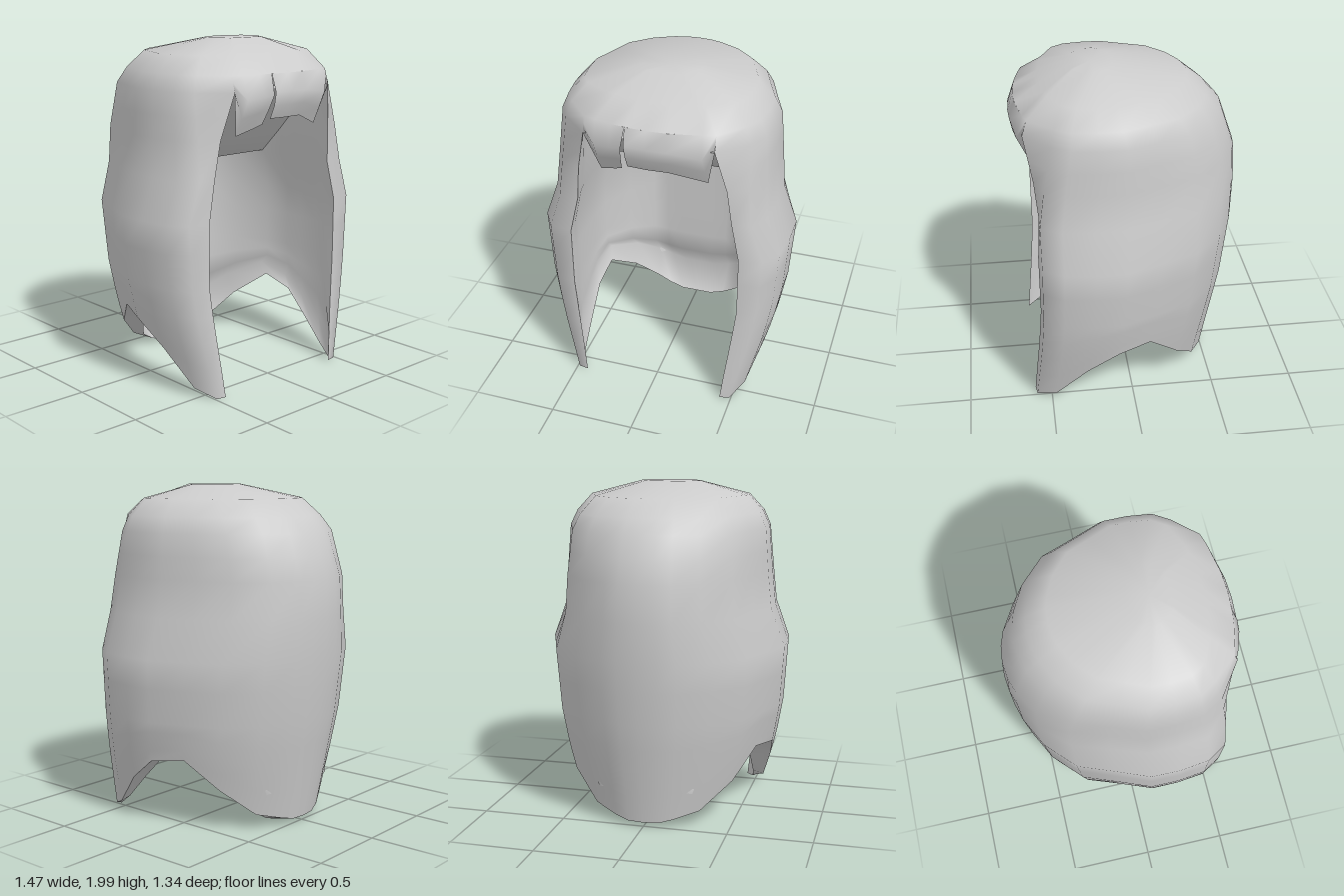
import * as THREE from 'three';
import { mergeGeometries, mergeVertices } from 'three/addons/utils/BufferGeometryUtils.js';

const lerp = THREE.MathUtils.lerp;

// Half cross-sections from back centre to the front corner: [share of width, share of depth]
const OUTER_HALF = [[0, 0], [0.16, 0.01], [0.3, 0.035], [0.54, 0.11], [0.78, 0.25], [0.89, 0.43],
  [1, 0.6], [1, 0.75], [0.97, 0.9], [0.87, 1]];
const INNER_HALF = [[0, 0], [0.2, 0], [0.38, 0], [0.55, 0.01], [0.78, 0.17], [0.97, 0.4],
  [1, 0.6], [1, 0.75], [1, 0.9], [0.97, 1]];
const EDGE = OUTER_HALF.length; // last column: rim of the face opening

// Levels: [y, half width, back z, front z, rim x, rim z]
const OUTER = [
  [2, 0.18, 0.06, 0.22, 0.12, 0.29], [1.92, 0.48, -0.37, 0.38, 0.28, 0.45],
  [1.82, 0.57, -0.49, 0.43, 0.37, 0.57], [1.73, 0.61, -0.57, 0.45, 0.37, 0.598],
  [1.47, 0.63, -0.66, 0.5, 0.43, 0.55], [1.25, 0.65, -0.67, 0.53, 0.455, 0.53],
  [1.02, 0.735, -0.66, 0.53, 0.505, 0.545], [0.65, 0.71, -0.62, 0.535, 0.505, 0.545],
  [0.42, 0.67, -0.58, 0.55, 0.48, 0.56], [0.27, 0.63, -0.555, 0.565, 0.46, 0.575],
  [0, 0.56, -0.51, 0.59, 0.43, 0.6]];
const INNER = [
  [1.73, 0.42, -0.36, 0.45], [1.25, 0.48, -0.36, 0.45], [1.02, 0.53, -0.36, 0.46],
  [0.65, 0.53, -0.36, 0.46], [0.35, 0.52, -0.36, 0.5], [0.18, 0.52, -0.48, 0.53], [0, 0.49, -0.37, 0.56]];

// Lower hem height of each column
const OUTER_HEM = [0.04, 0.04, 0.06, 0.1, 0.26, 0.43, 0.41, 0.27, 0.06, 0.01, 0.01];
const INNER_HEM = [0.01, 0.01, 0.04, 0.09, 0.27, 0.43, 0.37, 0.23, 0.08, 0.01, 0.01];

// Fringe locks, hem points [x at root, x at tip, tip height]
const FRINGE = [
  [[-0.37, -0.37, 1.73], [-0.3, -0.3, 1.48], [-0.2, -0.2, 1.52], [-0.12, -0.155, 1.54]],
  [[-0.12, -0.115, 1.57], [0, 0, 1.57], [0.12, 0.12, 1.57], [0.3, 0.32, 1.5], [0.37, 0.37, 1.73]]];
const FRINGE_Z = [[1.82, 0.632], [1.73, 0.66], [1.7, 0.675], [1.57, 0.615], [1.48, 0.57]];
const FRINGE_CURVE = 0.45;

// Interpolate a table ordered by falling first value
function sample(table, y) {
  let i = 0;
  while (i < table.length - 2 && y < table[i + 1][0]) i++;
  const a = table[i], b = table[i + 1];
  const t = THREE.MathUtils.clamp((a[0] - y) / (a[0] - b[0]), 0, 1);
  return a.map((v, k) => lerp(v, b[k], t));
}

// Point of a column at height y, shaped by the cross-section of the given level
function point(table, half, col, y, level = y) {
  if (col === EDGE) {
    const l = sample(OUTER, y);
    return [l[4], y, l[5]];
  }
  const l = sample(table, level), [w, d] = half[col];
  return [l[1] * w, y, lerp(l[2], l[3], d)];
}
const outerPoint = (c, y) => point(OUTER, OUTER_HALF, c, y);
const innerPoint = (c, y, level) => point(INNER, INNER_HALF, c, y, level);

// Row of points from the left rim, round the back, to the right rim
function row(f) {
  const half = [];
  for (let c = 0; c <= EDGE; c++) half.push(f(c));
  return [...half.slice(1).reverse(), ...half.map(([x, y, z]) => [-x, y, z])];
}

// Surface through rows of points
function sheet(rows, flip = false) {
  const n = rows[0].length, index = [];
  for (let r = 0; r < rows.length - 1; r++) {
    for (let c = 0; c < n - 1; c++) {
      const a = r * n + c, b = a + n;
      if (flip) index.push(a, a + 1, b, b, a + 1, b + 1);
      else index.push(a, b, a + 1, b, b + 1, a + 1);
    }
  }
  const g = new THREE.BufferGeometry();
  g.setAttribute('position', new THREE.Float32BufferAttribute(rows.flat(2), 3));
  g.setIndex(index);
  return g;
}

function smooth(parts) {
  const g = mergeVertices(mergeGeometries(parts), 1e-3);
  g.computeVertexNormals();
  return g;
}

const DROP = [0.25, 0.47, 0.73, 1]; // steps from the last full level to the hem

export function createModel() {
  const group = new THREE.Group();
  const material = new THREE.MeshStandardMaterial({ color: 0xcccccc, side: THREE.DoubleSide });
  const add = (name, geometry) => {
    const mesh = new THREE.Mesh(geometry, material);
    mesh.name = name;
    group.add(mesh);
  };

  // Sides and back, from the crown levels down to the cut hem
  const outer = [
    ...[1.82, 1.73, 1.6, 1.47, 1.25, 1.02, 0.85, 0.65].map((y) => row((c) => outerPoint(c, y))),
    ...DROP.map((s) => row((c) => outerPoint(c, lerp(0.65, OUTER_HEM[c], s))))];

  // Closed crown
  const roots = [-0.37, -0.3, -0.2, -0.12, 0, 0.12, 0.3, 0.37];
  const crown = [2, 1.92, 1.82].map((y) => {
    const [, , , , ex, ez] = sample(OUTER, y);
    const front = roots.slice(1).map((r) => {
      const x = r * ex / 0.37;
      return [x, y, ez + FRINGE_CURVE * (ex * ex - x * x)];
    });
    return [...row((c) => outerPoint(c, y)), ...front];
  });
  crown.unshift(crown[0].map(() => [0, 2, 0.18]));

  // Fringe locks with notches between them
  const fringe = FRINGE.map((lock) => sheet([0, 0.4, 0.7, 1].map((s) => lock.map(([x0, x1, tip]) => {
    const x = lerp(x0, x1, s), y = lerp(1.82, tip, s);
    return [x, y, sample(FRINGE_Z, y)[1] - FRINGE_CURVE * x * x];
  }))));
  add('hairShell', smooth([sheet(crown), sheet(outer), ...fringe]));

  // Inner wall with a groove above the nape; its top rises towards the fringe
  const top = (c) => lerp(1.25, 1.73, c === EDGE ? 1 : Math.max(0, (INNER_HALF[c][1] - 0.4) / 0.6));
  const inner = [
    ...[1.73, 1.47, 1.25, 1.02, 0.85, 0.65].map((y) => row((c) => innerPoint(c, Math.min(y, top(c))))),
    ...DROP.map((s) => row((c) => innerPoint(c, lerp(0.65, INNER_HEM[c], s), lerp(0.65, 0, s))))];
  add('innerLining', smooth([sheet(inner, true)]));

  // Sloping ceiling inside the hair
  const ceiling = [];
  for (let c = EDGE; c >= 0; c--) {
    const [x, y, z] = innerPoint(c, top(c));
    ceiling.push([[x, y, z], [0, y, z], [-x, y, z]]);
  }
  add('innerCeiling', smooth([sheet(ceiling)]));

  // Thickness of the lower hem
  add('hem', smooth([sheet([outer[outer.length - 1], inner[inner.length - 1]])]));

  return group;
}
